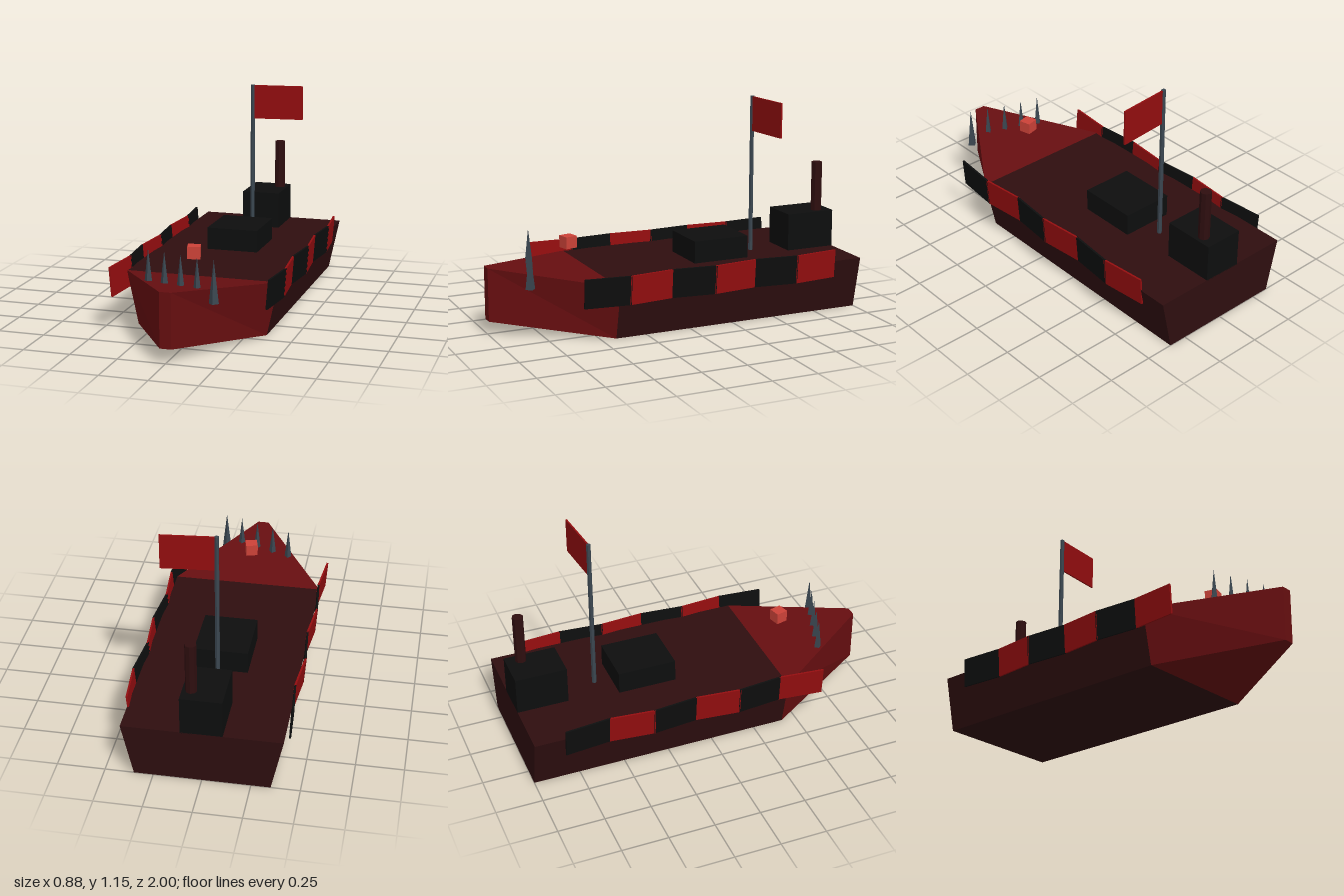
import * as THREE from 'three';

const mat = (name, color, extra = {}) => {
  const m = new THREE.MeshStandardMaterial({ color, flatShading: true, ...extra });
  m.name = name;
  return m;
};

// Solid between two four-cornered cross-sections.
// section: { z, bottom: [halfWidth, y], top: [halfWidth, y] }
function loft(back, front) {
  const ring = ({ z, bottom: [bw, by], top: [tw, ty] }) => [
    [-bw, by, z], [bw, by, z], [tw, ty, z], [-tw, ty, z],
  ];
  const a = ring(back), b = ring(front), pos = [];
  const quad = (p, q, r, s) => pos.push(...p, ...q, ...r, ...p, ...r, ...s);
  for (let i = 0; i < 4; i++) {
    const j = (i + 1) % 4;
    quad(b[j], b[i], a[i], a[j]);
  }
  quad(...b);
  quad(a[3], a[2], a[1], a[0]);
  const g = new THREE.BufferGeometry();
  g.setAttribute('position', new THREE.Float32BufferAttribute(pos, 3));
  g.computeVertexNormals();
  return g;
}

export function createModel() {
  const model = new THREE.Group();
  model.name = 'warship';

  const hullMat = mat('dark hull', 0x2e0e0f);
  const bowMat = mat('deep red', 0x660e10);
  const redMat = mat('bright red', 0x930d0f);
  const blackMat = mat('black', 0x0d0e0e);
  const steelMat = mat('steel', 0x3a4650);
  const emberMat = mat('ember', 0xcc4238);

  const add = (name, geometry, material, x = 0, y = 0, z = 0) => {
    const mesh = new THREE.Mesh(geometry, material);
    mesh.name = name;
    mesh.position.set(x, y, z);
    model.add(mesh);
    return mesh;
  };

  // Hull and tapering, rising bow
  const section = (z) => ({ z, bottom: [0.35, 0], top: [0.412, 0.287] });
  add('hull', loft(section(-1), section(0.42)), hullMat);
  add('bow', loft(section(0.42), { z: 1, bottom: [0.03, 0.075], top: [0.03, 0.36] }), bowMat);

  // Deck structures
  add('hatch', new THREE.BoxGeometry(0.285, 0.13, 0.32), blackMat, 0, 0.343, -0.287);
  add('cabin', new THREE.BoxGeometry(0.216, 0.21, 0.28), blackMat, 0, 0.387, -0.86);
  add('chimney', new THREE.CylinderGeometry(0.03, 0.03, 0.3, 8), hullMat, 0.062, 0.617, -0.92);

  // Mast and flag
  add('mast', new THREE.CylinderGeometry(0.012, 0.013, 0.87, 6), steelMat, 0, 0.717, -0.54);
  const flag = add('flag', new THREE.BoxGeometry(0.275, 0.19, 0.009), redMat, 0.147, 1.055, -0.553);
  flag.rotation.y = 0.09;

  // Overlapping side shields, alternately angled and coloured
  const shield = new THREE.BoxGeometry(0.01, 0.156, 0.25);
  for (const side of [1, -1]) {
    for (let i = 0; i < 6; i++) {
      const even = i % 2 === 0;
      const material = even === (side > 0) ? blackMat : redMat;
      const panel = add('sideShield', shield, material, side * 0.417, 0.273, 0.49 - i * 0.241);
      panel.rotation.order = 'ZYX';
      panel.rotation.set(0, even ? -0.09 : 0.09, -side * 0.08);
    }
  }

  // Slanting row of bow spikes
  const spike = new THREE.ConeGeometry(0.026, 0.22, 4);
  for (let i = -2; i <= 2; i++) {
    add('bowSpike', spike, steelMat, i * 0.096, 0.381, 0.763 + i * 0.032);
  }

  // Glowing block above the foredeck
  const ember = add('emberBlock', new THREE.BoxGeometry(0.066, 0.064, 0.066), emberMat, 0, 0.449, 0.545);
  ember.rotation.y = 0.25;

  return model;
}
